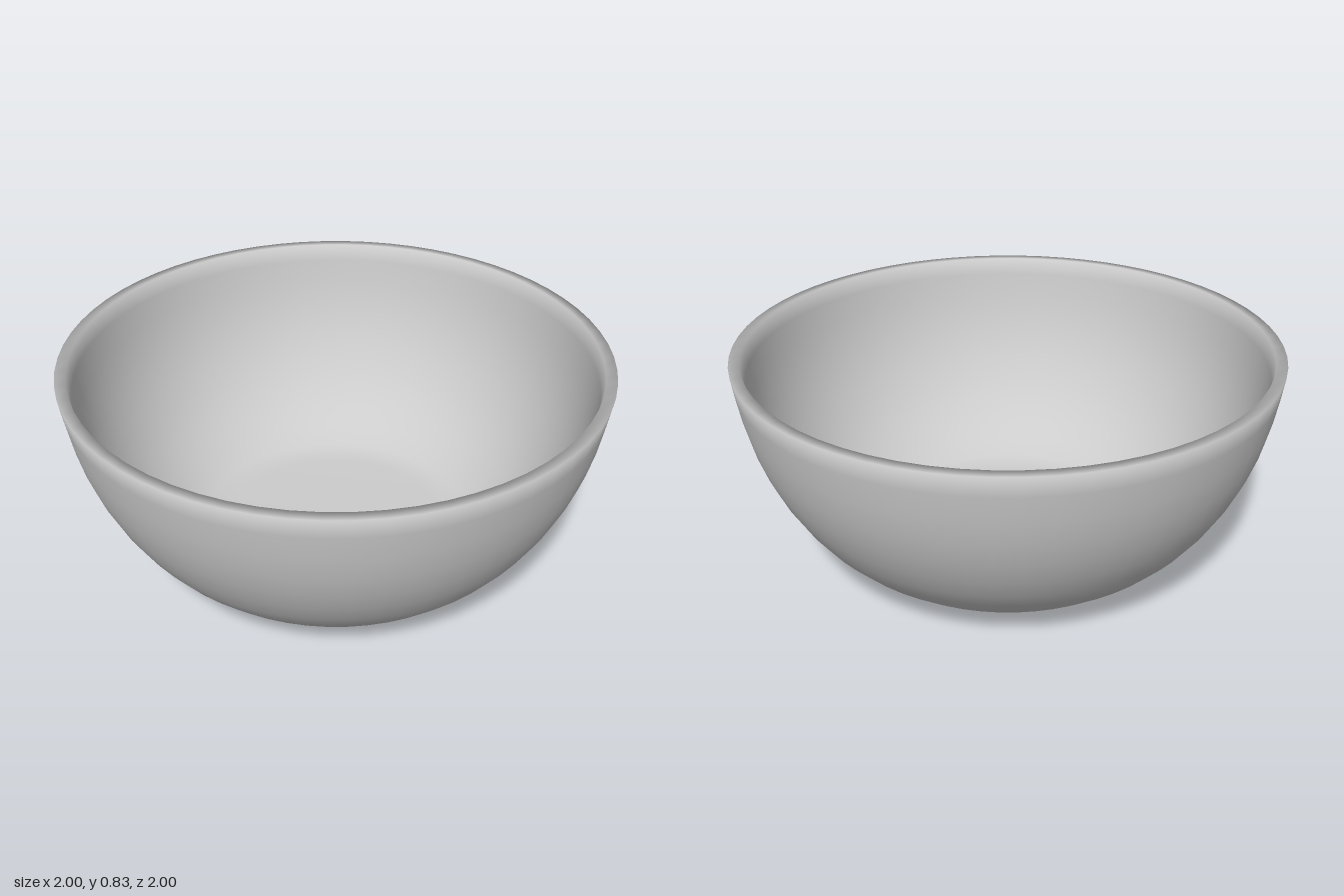
import * as THREE from 'three';

// Outer wall, from the edge of the flat foot up to the rim: [radius, height]
const wall = [
  [0.44, 0], [0.55, 0.025], [0.635, 0.08], [0.71, 0.142], [0.775, 0.212], [0.83, 0.288],
  [0.88, 0.375], [0.92, 0.465], [0.952, 0.56], [0.975, 0.66], [0.99, 0.755], [1, 0.83],
];
const THICKNESS = 0.04;

// Moves the wall inwards along its normal to get the inside surface
function insetWall() {
  return wall.map(([r, y], i) => {
    if (i === 0) return [r, y + THICKNESS];
    if (i === wall.length - 1) return [r - THICKNESS, y];
    const [r0, y0] = wall[i - 1];
    const [r1, y1] = wall[i + 1];
    const length = Math.hypot(r1 - r0, y1 - y0);
    return [r - (THICKNESS * (y1 - y0)) / length, y + (THICKNESS * (r1 - r0)) / length];
  });
}

export function createModel() {
  const group = new THREE.Group();
  group.name = 'bowl';

  // One closed profile: foot, outside, rim, inside, floor
  const profile = [[0, 0], ...wall, ...insetWall().reverse(), [0, THICKNESS]]
    .map(([r, y]) => new THREE.Vector2(r, y));

  const shell = new THREE.Mesh(
    new THREE.LatheGeometry(profile, 64),
    new THREE.MeshStandardMaterial({ color: 0xcccccc }),
  );
  shell.name = 'bowlShell';
  group.add(shell);
  return group;
}
